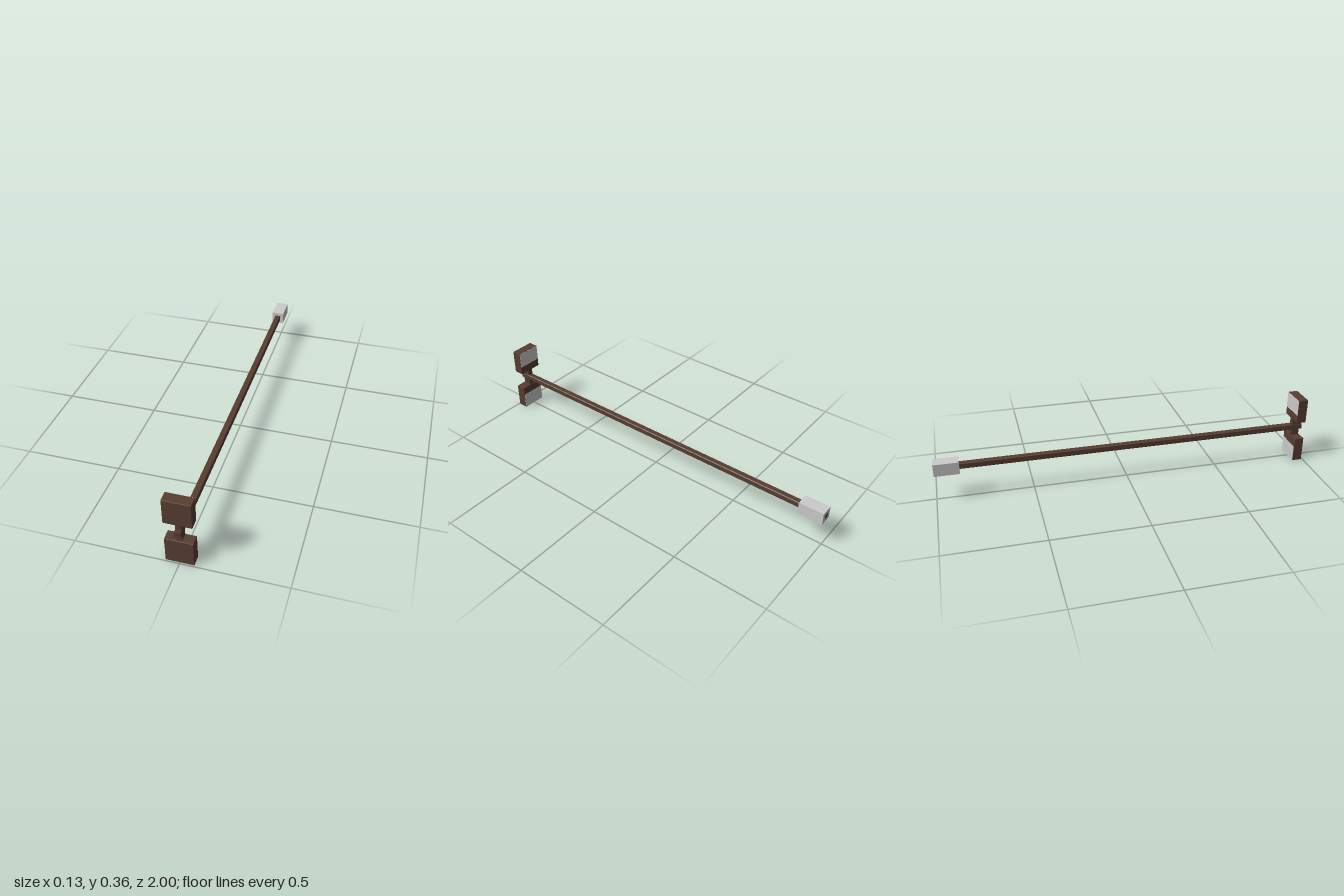
import * as THREE from 'three';
import { RoundedBoxGeometry } from 'three/addons/geometries/RoundedBoxGeometry.js';

const wood = new THREE.MeshStandardMaterial({ color: 0x573d30, flatShading: true });
const metal = new THREE.MeshStandardMaterial({ color: 0xcccccc, flatShading: true });
const AXIS_Y = 0.182;

function addMesh(parent, name, geometry, material, x, y, z) {
  const mesh = new THREE.Mesh(geometry, material);
  mesh.name = name;
  mesh.position.set(x, y, z);
  parent.add(mesh);
  return mesh;
}

// Square bar along z with lightly chamfered long edges
function chamferedBar(half, chamfer, length) {
  const a = half, b = half - chamfer;
  const shape = new THREE.Shape([
    [a, -b], [a, b], [b, a], [-b, a], [-a, b], [-a, -b], [-b, -a], [b, -a],
  ].map(([x, y]) => new THREE.Vector2(x, y)));
  return new THREE.ExtrudeGeometry(shape, { depth: length, bevelEnabled: false });
}

export function createModel() {
  const model = new THREE.Group();
  model.name = 'longHandledTool';

  // Long shaft, its front tip passing through the head
  addMesh(model, 'shaft', chamferedBar(0.0155, 0.003, 1.99), wood, 0, AXIS_Y, -0.99);
  addMesh(model, 'shaftEnd', new THREE.BoxGeometry(0.026, 0.026, 0.02), wood, 0, AXIS_Y, -0.99);

  // Square metal weight at the rear end
  addMesh(model, 'endWeight', new THREE.BoxGeometry(0.066, 0.066, 0.129), metal, 0, AXIS_Y, -0.9345);

  // Neck joining the two head blocks
  addMesh(model, 'neck', new THREE.BoxGeometry(0.028, 0.11, 0.043), wood, 0, AXIS_Y, 0.964);

  // Mirrored head blocks, each with a plate on the outer part of its back
  for (const side of [1, -1]) {
    const head = new THREE.Group();
    head.name = side > 0 ? 'upperHead' : 'lowerHead';
    addMesh(head, 'block', new RoundedBoxGeometry(0.134, 0.132, 0.053, 1, 0.002), wood,
      0, AXIS_Y + side * 0.115, 0.9665);
    addMesh(head, 'backPlate', new THREE.BoxGeometry(0.132, 0.086, 0.004), metal,
      0, AXIS_Y + side * 0.137, 0.941);
    model.add(head);
  }
  return model;
}
